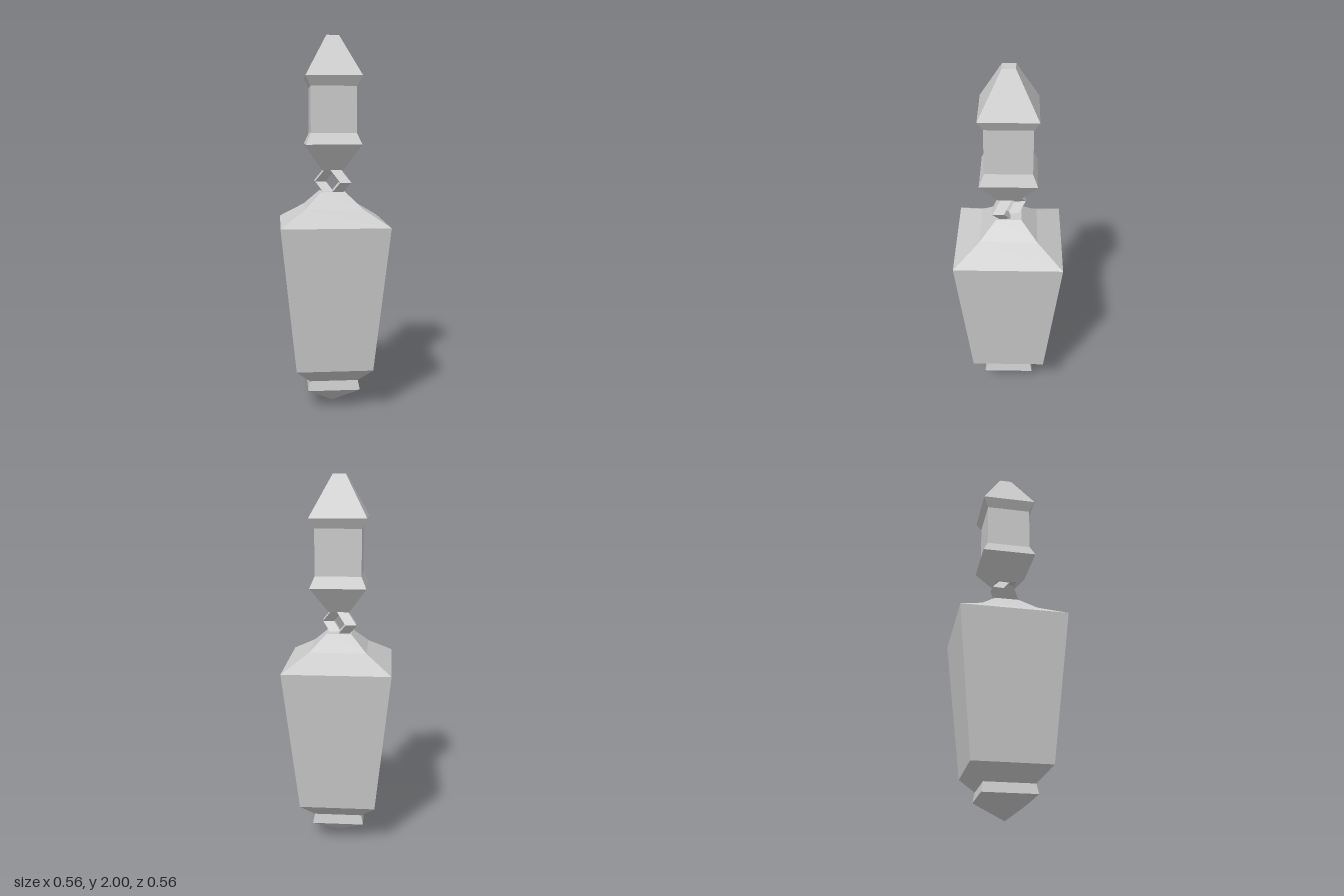
import * as THREE from 'three';

export function createModel() {
  const model = new THREE.Group();
  const material = new THREE.MeshStandardMaterial({ color: 0xcccccc, flatShading: true });

  const add = (name, geometry) => {
    const mesh = new THREE.Mesh(geometry, material);
    mesh.name = name;
    model.add(mesh);
    return mesh;
  };

  // Square turned part from [half width, height] pairs, bottom to top
  const squareTurned = (name, profile) => {
    const points = profile.map(([w, y]) => new THREE.Vector2(w * Math.SQRT2, y));
    return add(name, new THREE.LatheGeometry(points, 4, Math.PI / 4).toNonIndexed());
  };

  // Tapered body with sloped shoulders and a pointed foot
  squareTurned('body', [
    [0, 0], [0.14, 0.108], [0.13, 0.16], [0.204, 0.238],
    [0.282, 1.016], [0.15, 1.10], [0.066, 1.182], [0, 1.182],
  ]);

  // Upper handle with flared collars and a blunt pyramid tip
  squareTurned('handle', [
    [0, 1.298], [0.055, 1.298], [0.146, 1.435], [0.12, 1.495],
    [0.12, 1.735], [0.147, 1.787], [0.033, 2], [0, 2],
  ]);

  // Four-sided link set on the diagonal, its ends sunk into both parts
  const link = add('link', new THREE.TorusGeometry(0.085, 0.042, 4, 4));
  link.position.y = 1.233;
  link.rotation.y = -0.72;

  return model;
}
